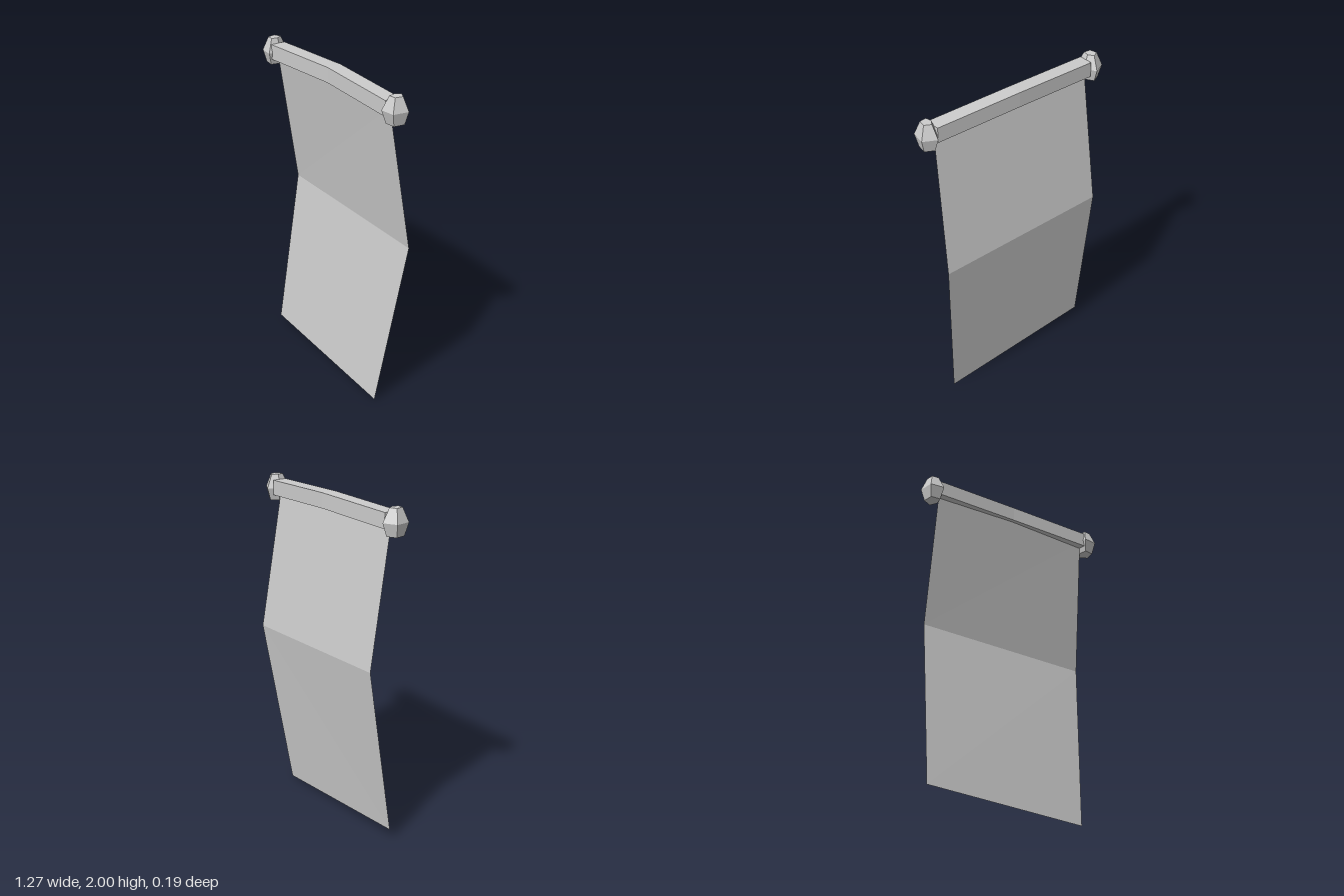
import * as THREE from 'three';

// Joins rings of equal point count into a closed or open surface
function loft(rings, closed) {
  const n = rings[0].length, pos = [], idx = [];
  rings.forEach(r => r.forEach(p => pos.push(...p)));
  for (let i = 0; i < rings.length - 1; i++) {
    for (let j = 0; j < (closed ? n : n - 1); j++) {
      const a = i * n + j, b = i * n + (j + 1) % n;
      idx.push(a, b, b + n, a, b + n, a + n);
    }
  }
  if (closed) {
    const last = (rings.length - 1) * n;
    for (let j = 1; j < n - 1; j++) idx.push(0, j + 1, j, last, last + j, last + j + 1);
  }
  const g = new THREE.BufferGeometry();
  g.setAttribute('position', new THREE.Float32BufferAttribute(pos, 3));
  g.setIndex(idx);
  const flat = g.toNonIndexed();
  flat.computeVertexNormals();
  return flat;
}

export function createModel() {
  const model = new THREE.Group();
  model.name = 'hangingBanner';
  const grey = new THREE.MeshStandardMaterial({ color: 0xcccccc, flatShading: true, side: THREE.DoubleSide });
  grey.name = 'light grey';
  const add = (name, geometry) => {
    const mesh = new THREE.Mesh(geometry, grey);
    mesh.name = name;
    model.add(mesh);
  };

  // Square rod, bowed up and back in the middle
  const rod = [[-0.54, 0, 0], [0, 0.016, -0.018], [0.54, 0, 0]].map(([x, dy, dz]) =>
    [[1.88, 0.07], [1.97, 0.07], [1.97, -0.02], [1.88, -0.02]].map(([y, z]) => [x, y + dy, z + dz]).reverse());
  add('rod', loft(rod, true));

  // Five-sided end knobs: narrow top, wide middle, blunt bottom
  const outline = [[0.06, -0.035], [-0.017, -0.075], [-0.057, -0.008], [-0.043, 0.066], [0.043, 0.056]];
  const levels = [[1.845, 0.68], [1.92, 1], [2, 0.5]];
  for (const side of [1, -1]) {
    const rings = levels.map(([y, s]) => {
      const ring = outline.map(([x, z]) => [side * (0.577 + x * s), y, 0.025 + z * s]);
      return side > 0 ? ring.reverse() : ring;
    });
    add(side > 0 ? 'leftKnob' : 'rightKnob', loft(rings, true));
  }

  // Cloth with one fold across the middle and a skewed hem
  add('cloth', loft([
    [[-0.56, 0.068, 0.045], [0.47, 0.003, 0.046]],
    [[-0.535, 1.08, -0.097], [0.572, 1.055, -0.097]],
    [[-0.535, 1.92, 0.032], [0.532, 1.92, 0.032]],
  ], false));

  return model;
}
